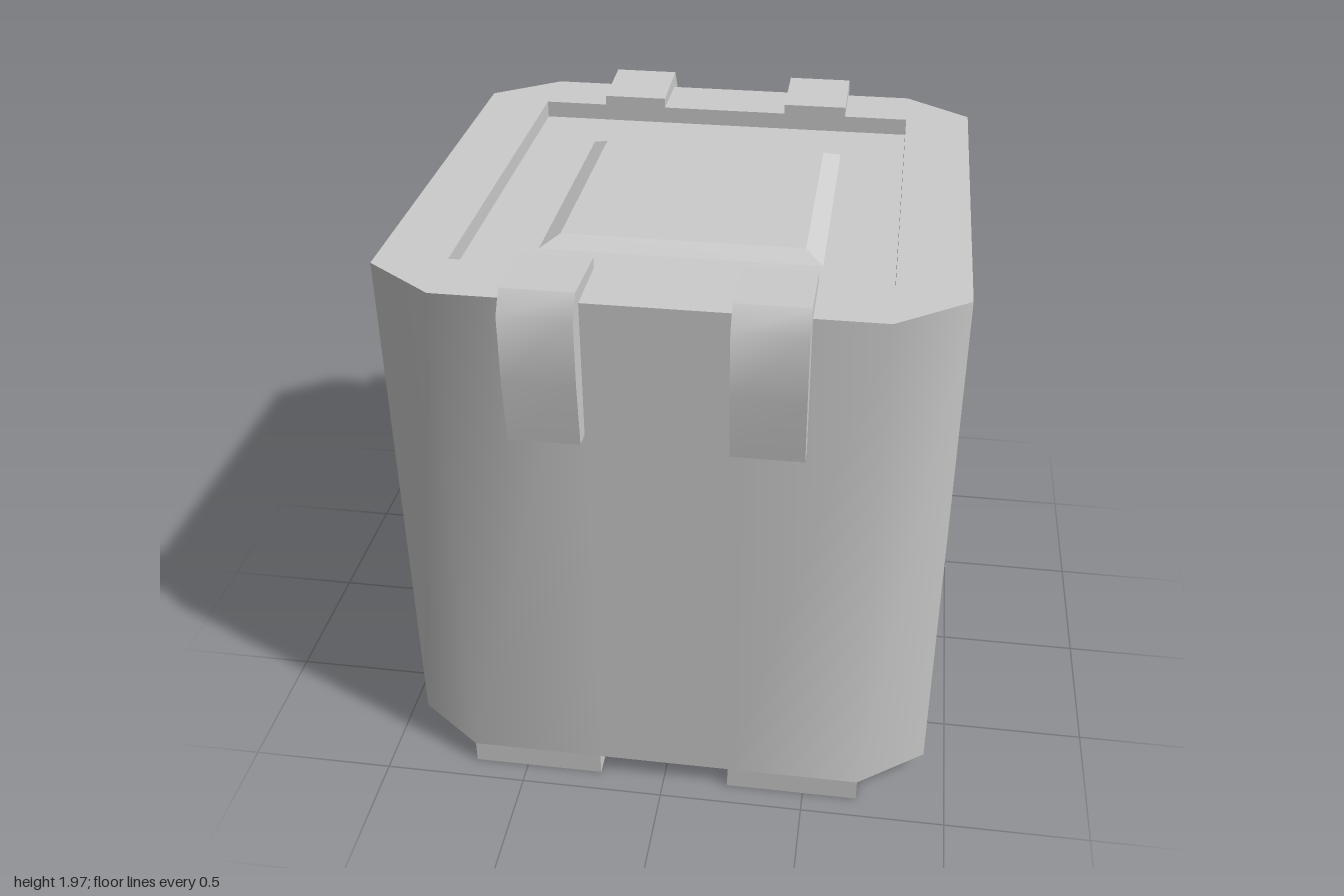
import * as THREE from 'three';
import { toCreasedNormals } from 'three/addons/utils/BufferGeometryUtils.js';

const TOP = 1.92, BASE = 0.08;
const CREASE = Math.PI / 4;
const grey = new THREE.MeshStandardMaterial({ color: 0xcccccc });

function addMesh(parent, name, geometry) {
  const mesh = new THREE.Mesh(geometry, grey);
  mesh.name = name;
  parent.add(mesh);
  return mesh;
}

// Vertical wall following a closed outline given as (x, -z)
function wallGeometry(outline, y0, y1) {
  const positions = [], indices = [], n = outline.length;
  outline.forEach((p, i) => {
    const a = 2 * i, b = 2 * ((i + 1) % n);
    positions.push(p.x, y0, -p.y, p.x, y1, -p.y);
    indices.push(a, b, b + 1, a, b + 1, a + 1);
  });
  const geometry = new THREE.BufferGeometry();
  geometry.setAttribute('position', new THREE.Float32BufferAttribute(positions, 3));
  geometry.setIndex(indices);
  return toCreasedNormals(geometry, CREASE);
}

export function createModel() {
  const model = new THREE.Group();
  model.name = 'crate';

  // Body outline: a square with cut corners
  const half = [[0.92, -0.75], [0.92, 0.75], [0.69, 0.92], [0.23, 0.92], [-0.23, 0.92], [-0.69, 0.92]];
  const outline = [...half, ...half.map(([x, y]) => [-x, -y])].map(([x, y]) => new THREE.Vector2(x, y));
  addMesh(model, 'bodyWalls', wallGeometry(outline, BASE, TOP));

  // Top rim around the square recess
  const rim = new THREE.Shape(outline);
  const r = 0.69;
  rim.holes.push(new THREE.Path([[-r, -r], [-r, r], [r, r], [r, -r]].map(([x, y]) => new THREE.Vector2(x, y))));
  addMesh(model, 'topRim', new THREE.ShapeGeometry(rim).rotateX(-Math.PI / 2).translate(0, TOP, 0));

  // Underside
  addMesh(model, 'underside',
    new THREE.ShapeGeometry(new THREE.Shape(outline)).rotateX(Math.PI / 2).translate(0, BASE, 0));

  // Recess walls, floor and raised bevelled pad, as one four-sided lathe
  const recess = [[r, TOP], [r, 1.86], [0.46, 1.86], [0.4, 1.89], [0, 1.89]]
    .map(([h, y]) => new THREE.Vector2(h * Math.SQRT2, y));
  addMesh(model, 'lidPanel', toCreasedNormals(new THREE.LatheGeometry(recess, 4, Math.PI / 4), 0.1));

  // Clip hooked over the top edge, profile given as (z, y)
  const clipProfile = new THREE.Shape([
    [0.69, 1.9], [0.92, 1.9], [0.92, 1.46], [0.98, 1.46], [1, 1.68], [1, 1.9], [0.95, 1.97], [0.69, 1.955],
  ].map(([z, y]) => new THREE.Vector2(z, y)));
  const clipGeometry = toCreasedNormals(
    new THREE.ExtrudeGeometry(clipProfile, { depth: 0.23, bevelEnabled: false })
      .translate(0, 0, -0.115).rotateY(-Math.PI / 2), CREASE);

  for (const side of [1, -1]) {
    const label = side > 0 ? 'left' : 'right';

    // Runner under each half
    addMesh(model, label + 'Runner', new THREE.BoxGeometry(0.46, BASE, 1.84))
      .position.set(side * 0.46, BASE / 2, 0);

    // Front and back clips
    addMesh(model, label + 'FrontClip', clipGeometry).position.x = side * 0.345;
    const back = addMesh(model, label + 'BackClip', clipGeometry);
    back.position.x = side * 0.345;
    back.rotation.y = Math.PI;
  }

  return model;
}
